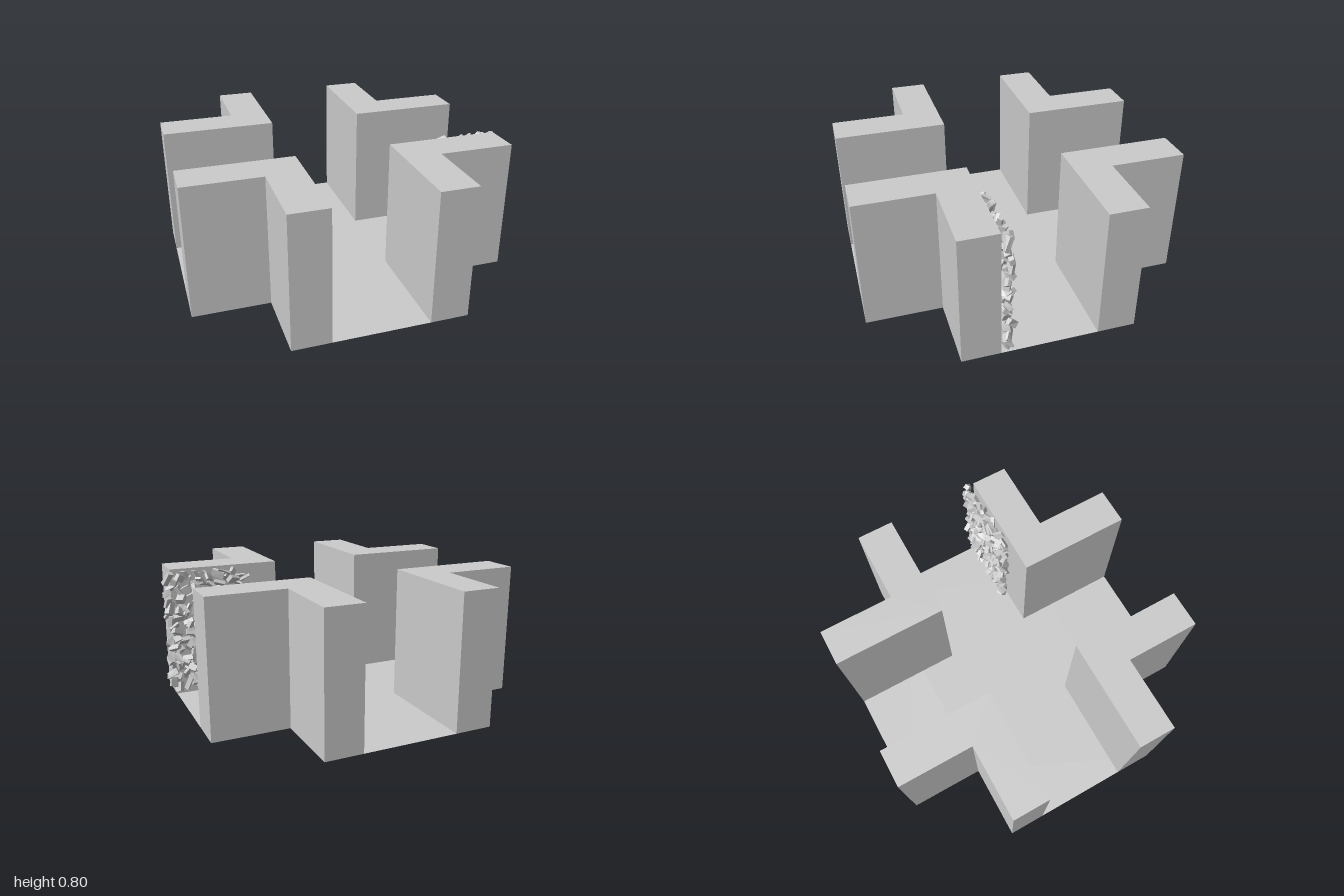
import * as THREE from 'three';
import { mergeGeometries } from 'three/addons/utils/BufferGeometryUtils.js';

const CX = -0.032; // centre of the cross plan in x
const INNER = 0.287, OUTER = 0.512, END = 0.967, HEIGHT = 0.8;

const material = () => new THREE.MeshStandardMaterial({ color: 0xcccccc, flatShading: true });

// Plan shape from [x, z] points
const plan = (points) => new THREE.Shape(points.map(([x, z]) => new THREE.Vector2(x, -z)));

function named(name, geometry, mat = material()) {
  const mesh = new THREE.Mesh(geometry, mat);
  mesh.name = name;
  return mesh;
}

function seeded(seed) {
  return () => {
    seed = (seed * 16807) % 2147483647;
    return seed / 2147483647;
  };
}

// Cross-shaped floor slab without thickness
function createFloor() {
  const points = [];
  for (const [sx, sz] of [[1, 1], [-1, 1], [-1, -1], [1, -1]]) {
    const corner = [[END, OUTER], [OUTER, OUTER], [OUTER, END]];
    if (sx * sz < 0) corner.reverse();
    for (const [x, z] of corner) points.push([CX + sx * x, sz * z]);
  }
  const mat = material();
  mat.side = THREE.DoubleSide;
  return named('floor', new THREE.ShapeGeometry(plan(points)).rotateX(-Math.PI / 2), mat);
}

// L-shaped wall at one corner of the crossing
function createCornerWall(name, sx, sz) {
  const points = [
    [INNER, INNER], [END, INNER], [END, OUTER],
    [OUTER, OUTER], [OUTER, END], [INNER, END],
  ].map(([x, z]) => [CX + sx * x, sz * z]);
  const geometry = new THREE.ExtrudeGeometry(plan(points), { depth: HEIGHT, bevelEnabled: false });
  return named(name, geometry.rotateX(-Math.PI / 2));
}

// Rough patch of tumbled chips, trimmed flush against the wall face
function createRubble() {
  const random = seeded(4711);
  const between = (a, b) => a + (b - a) * random();
  const box = new THREE.Box3(new THREE.Vector3(0.445, 0.03, 0.195), new THREE.Vector3(0.992, 0.79, 0.286));
  const columns = 10, rows = 16, chips = [];
  for (let i = 0; i < columns; i++) {
    for (let j = 0; j < rows; j++) {
      const chip = new THREE.BoxGeometry(between(0.05, 0.09), between(0.03, 0.05), between(0.012, 0.035));
      chip.rotateX(between(-1.2, 1.2)).rotateY(between(-0.9, 0.9)).rotateZ(between(0, Math.PI));
      chip.translate(
        0.485 + 0.465 * (i + between(-0.5, 0.5)) / (columns - 1),
        0.07 + 0.68 * (j + between(-0.5, 0.5)) / (rows - 1),
        between(0.235, 0.27),
      );
      const position = chip.attributes.position, v = new THREE.Vector3();
      for (let k = 0; k < position.count; k++) {
        v.fromBufferAttribute(position, k).clamp(box.min, box.max);
        position.setXYZ(k, v.x, v.y, v.z);
      }
      chips.push(chip);
    }
  }
  const geometry = mergeGeometries(chips);
  geometry.computeVertexNormals();
  return named('rubblePatch', geometry);
}

export function createModel() {
  const model = new THREE.Group();
  model.name = 'crossroadsTile';
  model.add(createFloor());
  for (const [end, sz] of [['front', 1], ['back', -1]]) {
    for (const [side, sx] of [['Left', 1], ['Right', -1]]) {
      model.add(createCornerWall(`${end}${side}Wall`, sx, sz));
    }
  }
  model.add(createRubble());
  return model;
}
